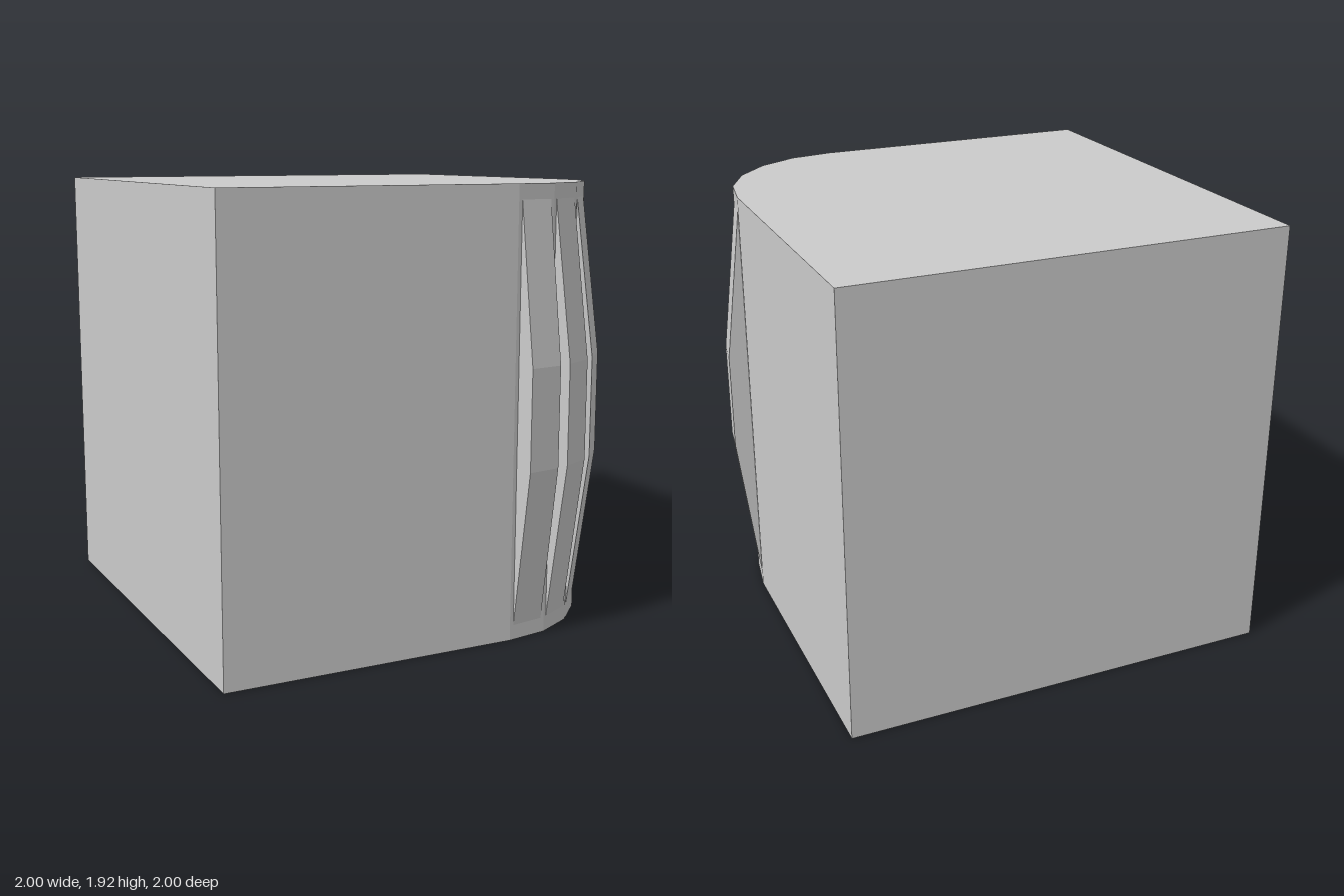
import * as THREE from 'three';

const HEIGHT = 1.925;   // block height
const FACE = 0.92;      // front and left faces of the block
const RADIUS = 0.62;    // rounded corner
const SIDES = 5;        // facets on the corner, one rib on each
const STEP = Math.PI / 2 / SIDES;
const CENTRE = FACE - RADIUS;

export function createModel() {
  const model = new THREE.Group();
  model.name = 'ribbedCornerBlock';
  const material = new THREE.MeshStandardMaterial({ color: 0xcccccc, flatShading: true });

  // Block with one faceted rounded corner, drawn in plan and extruded upwards
  const plan = new THREE.Shape();
  plan.moveTo(-1, -1);
  plan.lineTo(FACE, -1);
  for (let i = 0; i <= SIDES; i++) {
    const a = i * STEP;
    plan.lineTo(CENTRE + RADIUS * Math.cos(a), CENTRE + RADIUS * Math.sin(a));
  }
  plan.lineTo(-1, FACE);
  plan.closePath();
  const blockGeometry = new THREE.ExtrudeGeometry(plan, { depth: HEIGHT, bevelEnabled: false });
  blockGeometry.rotateX(Math.PI / 2).translate(0, HEIGHT, 0);
  const block = new THREE.Mesh(blockGeometry, material);
  block.name = 'block';
  model.add(block);

  // Rib: side profile that swells in the middle and tapers into the facet
  const facet = RADIUS * Math.cos(STEP / 2);
  const outer = 0.696;
  const width = 0.157;
  const profile = new THREE.Shape([
    [facet - 0.003, 0.04], [outer, 0.745], [outer, 1.18], [facet - 0.003, HEIGHT - 0.04],
  ].map(([r, y]) => new THREE.Vector2(r, y)));
  const ribGeometry = new THREE.ExtrudeGeometry(profile, { depth: width, bevelEnabled: false });
  ribGeometry.translate(0, 0, -width / 2);

  // One rib centred on every facet of the corner
  const ribs = new THREE.Group();
  ribs.name = 'cornerRibs';
  ribs.position.set(CENTRE, 0, CENTRE);
  for (let i = 0; i < SIDES; i++) {
    const rib = new THREE.Mesh(ribGeometry, material);
    rib.name = `rib${i + 1}`;
    rib.rotation.y = -(i + 0.5) * STEP;
    ribs.add(rib);
  }
  model.add(ribs);

  return model;
}
